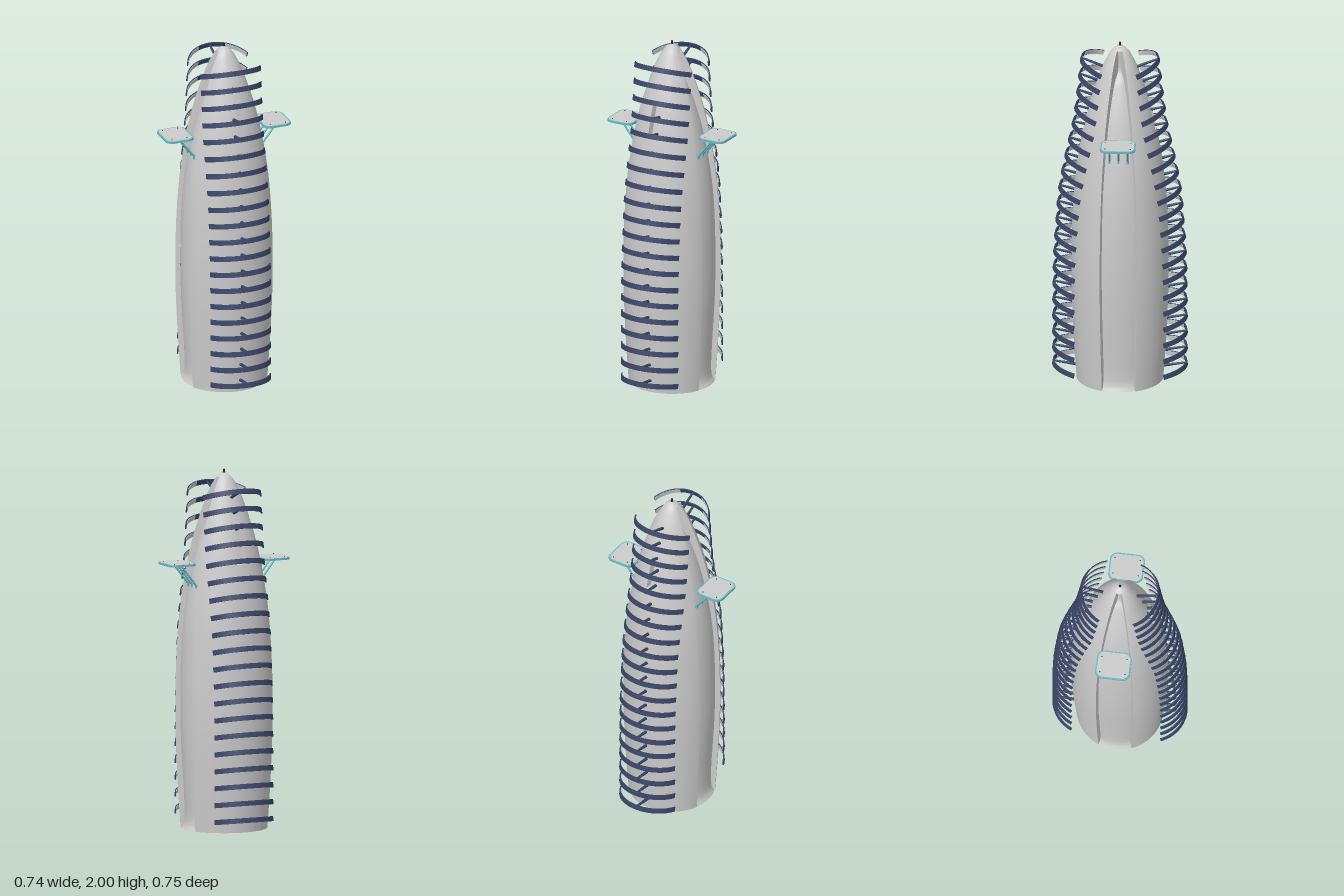
import * as THREE from 'three';

const grey = new THREE.MeshStandardMaterial({ color: 0xcccccc });
const greyThin = new THREE.MeshStandardMaterial({ color: 0xcccccc, side: THREE.DoubleSide });
const navy = new THREE.MeshStandardMaterial({ color: 0x3a4668 });
const teal = new THREE.MeshStandardMaterial({ color: 0x66bcc6 });
const dark = new THREE.MeshStandardMaterial({ color: 0x222222 });

// Profiles as [radius, height]
const smooth = (pts) => new THREE.SplineCurve(pts.map((p) => new THREE.Vector2(...p))).getPoints(120);
const outer = smooth([[0.24, 0], [0.256, 0.25], [0.268, 0.55], [0.268, 0.8], [0.26, 1.02], [0.244, 1.22],
  [0.215, 1.42], [0.172, 1.62], [0.109, 1.82], [0.07, 1.91], [0.038, 1.96], [0, 1.985]]);
const inner = smooth([[0.237, 0], [0.223, 0.03], [0.218, 0.08], [0.222, 0.2], [0.238, 0.5], [0.242, 0.75],
  [0.236, 1.0], [0.22, 1.2], [0.188, 1.4], [0.14, 1.6], [0.075, 1.77], [0.025, 1.84], [0.025, 1.965]]);

function radiusAt(profile, y) {
  let i = 1;
  while (i < profile.length - 1 && profile[i].y < y) i++;
  const a = profile[i - 1], b = profile[i];
  return THREE.MathUtils.mapLinear(y, a.y, b.y, a.x, b.x);
}

// Piece of a profile between two heights, optionally pushed inwards
function slice(profile, y0, y1, inset = 0) {
  const mid = profile.filter((p) => p.y > y0 + 1e-4 && p.y < y1 - 1e-4);
  const end = (y) => new THREE.Vector2(radiusAt(profile, y), y);
  return [end(y0), ...mid, end(y1)].map((p) => new THREE.Vector2(Math.max(p.x - inset, 0), p.y));
}

function add(parent, name, geometry, material) {
  const mesh = new THREE.Mesh(geometry, material);
  mesh.name = name;
  parent.add(mesh);
  return mesh;
}

function revolve(parent, name, pts, a0, a1, material = grey) {
  const n = Math.max(4, Math.round((a1 - a0) / 0.08));
  return add(parent, name, new THREE.LatheGeometry(pts, n, a0, a1 - a0), material);
}

// Flat radial wall joining two profile slices at an angle
function radialWall(parent, name, a, b, angle) {
  const shape = new THREE.Shape([...a, ...b.slice().reverse()]);
  add(parent, name, new THREE.ShapeGeometry(shape), greyThin).rotation.y = angle - Math.PI / 2;
}

function rod(parent, name, from, to, r0, r1, material) {
  const dir = to.clone().sub(from);
  const mesh = add(parent, name, new THREE.CylinderGeometry(r1, r0, dir.length(), 8), material);
  mesh.position.copy(from).addScaledVector(dir, 0.5);
  mesh.quaternion.setFromUnitVectors(new THREE.Vector3(0, 1, 0), dir.normalize());
}

// Curved band around the y axis, centred on +z
function band(rOut, rIn, a0, a1, height) {
  const s = new THREE.Shape();
  s.absarc(0, 0, rOut, Math.PI / 2 + a0, Math.PI / 2 + a1, false);
  s.absarc(0, 0, rIn, Math.PI / 2 + a1, Math.PI / 2 + a0, true);
  return new THREE.ExtrudeGeometry(s, { depth: height, bevelEnabled: false, curveSegments: 20 })
    .translate(0, 0, -height / 2).rotateX(Math.PI / 2).translate(0, 0, -rOut);
}

function roundedPlate(w, d, r, thickness) {
  const s = new THREE.Shape(), x = w / 2 - r, y = d / 2 - r;
  [[x, y], [-x, y], [-x, -y], [x, -y]].forEach(([cx, cy], i) =>
    s.absarc(cx, cy, r, i * Math.PI / 2, (i + 1) * Math.PI / 2, false));
  return new THREE.ExtrudeGeometry(s, { depth: thickness, bevelEnabled: false, curveSegments: 10 })
    .rotateX(-Math.PI / 2);
}

const SHELL = THREE.MathUtils.degToRad(67.5), SHELL_TOP = 1.958;
const NICHE = 0.2, NICHE_LOW = 1.49, NICHE_HIGH = 1.675, NICHE_DEPTH = 0.035;
const RUNGS = 20, RUNG_R = 0.192, RUNG_HALF = 1.22;
const rungReach = smooth([[0.373, 0.08], [0.372, 0.5], [0.367, 0.75], [0.355, 0.94], [0.338, 1.14],
  [0.302, 1.34], [0.262, 1.53], [0.238, 1.71], [0.216, 1.92]]);
const rungGeometry = band(RUNG_R, RUNG_R - 0.007, -RUNG_HALF, RUNG_HALF, 0.028);
const linerGeometry = band(RUNG_R - 0.007, RUNG_R - 0.009, 0.4, RUNG_HALF, 0.026).translate(0, 0, -0.007);

// One half of the tower: outer shell, niche and stacked rungs
function buildHalf() {
  const half = new THREE.Group();
  const full = slice(outer, 0, SHELL_TOP);
  revolve(half, 'shellSide', full, -SHELL, -NICHE);
  revolve(half, 'shellSide', full, NICHE, SHELL);
  revolve(half, 'shellBelowNiche', slice(outer, 0, NICHE_LOW), -NICHE, NICHE);
  revolve(half, 'shellAboveNiche', slice(outer, NICHE_HIGH, SHELL_TOP), -NICHE, NICHE);
  for (const s of [-1, 1]) radialWall(half, 'shellEdge', full, slice(inner, 0, SHELL_TOP), s * SHELL);

  // Niche recessed into the shell
  const face = slice(outer, NICHE_LOW, NICHE_HIGH);
  const back = slice(outer, NICHE_LOW, NICHE_HIGH, NICHE_DEPTH);
  revolve(half, 'nicheBack', back, -NICHE, NICHE);
  for (const s of [-1, 1]) radialWall(half, 'nicheWall', face, back, s * NICHE);
  revolve(half, 'nicheFloor', [face[0], back[0]], -NICHE, NICHE, greyThin);
  revolve(half, 'nicheCeiling', [back.at(-1), face.at(-1)], -NICHE, NICHE, greyThin);

  // Rungs tilt a little more towards the top
  for (let i = 0; i < RUNGS; i++) {
    const y = 0.088 + i * 0.0955, z = radiusAt(rungReach, y);
    const tilt = THREE.MathUtils.degToRad(9 + 10 * i / (RUNGS - 1));
    const rung = new THREE.Group();
    rung.name = 'rung';
    rung.position.set(0, y, z);
    rung.rotation.x = -tilt;
    add(rung, 'rungBand', rungGeometry, navy);
    for (const s of [0, Math.PI]) {
      // The second liner is the first one mirrored by a half roll
      add(rung, 'rungLiner', linerGeometry, grey).rotation.z = s;
    }
    half.add(rung);
    const drop = (z - radiusAt(outer, y)) * Math.tan(tilt);
    const inset = y > NICHE_LOW && y - drop < NICHE_HIGH ? NICHE_DEPTH : 0.004;
    const root = new THREE.Vector3(0, y - drop, radiusAt(outer, y - drop) - inset);
    rod(half, 'rungStrut', root, new THREE.Vector3(0, y, z - 0.004), 0.009, 0.006, navy);
  }
  return half;
}

// Side landing platform with rim, deck, bolts and three braces
function buildPlatform() {
  const platform = new THREE.Group();
  platform.name = 'platform';
  add(platform, 'platformRim', roundedPlate(0.163, 0.194, 0.04, 0.011), teal).position.set(0.29, 1.483, 0);
  add(platform, 'platformDeck', roundedPlate(0.147, 0.178, 0.033, 0.002), grey).position.set(0.29, 1.4935, 0);
  for (const x of [0.248, 0.338]) for (const z of [-0.07, 0.07]) {
    add(platform, 'deckBolt', new THREE.CylinderGeometry(0.003, 0.003, 0.005, 8), dark).position.set(x, 1.496, z);
  }
  for (const z of [-0.05, 0, 0.05]) {
    const foot = new THREE.Vector3(0.19, 1.36, z);
    rod(platform, 'brace', foot, new THREE.Vector3(0.29, 1.485, z), 0.006, 0.005, teal);
    add(platform, 'braceFoot', new THREE.BoxGeometry(0.022, 0.018, 0.012), teal).position.copy(foot);
  }
  return platform;
}

export function createModel() {
  const model = new THREE.Group();
  model.name = 'tower';

  // Recessed core between the two shells
  revolve(model, 'core', inner, 0, Math.PI * 2);
  revolve(model, 'noseCap', slice(outer, SHELL_TOP, 1.985), 0, Math.PI * 2);
  add(model, 'base', new THREE.CircleGeometry(0.24, 72), grey).rotation.x = Math.PI / 2;

  // Tip fitting
  add(model, 'tip', new THREE.CylinderGeometry(0.004, 0.008, 0.022, 12), dark).position.y = 1.989;

  for (const turn of [0, Math.PI]) {
    const half = buildHalf();
    half.name = turn ? 'backHalf' : 'frontHalf';
    half.rotation.y = turn;
    const platform = buildPlatform();
    platform.rotation.y = turn;
    model.add(half, platform);
  }
  return model;
}
